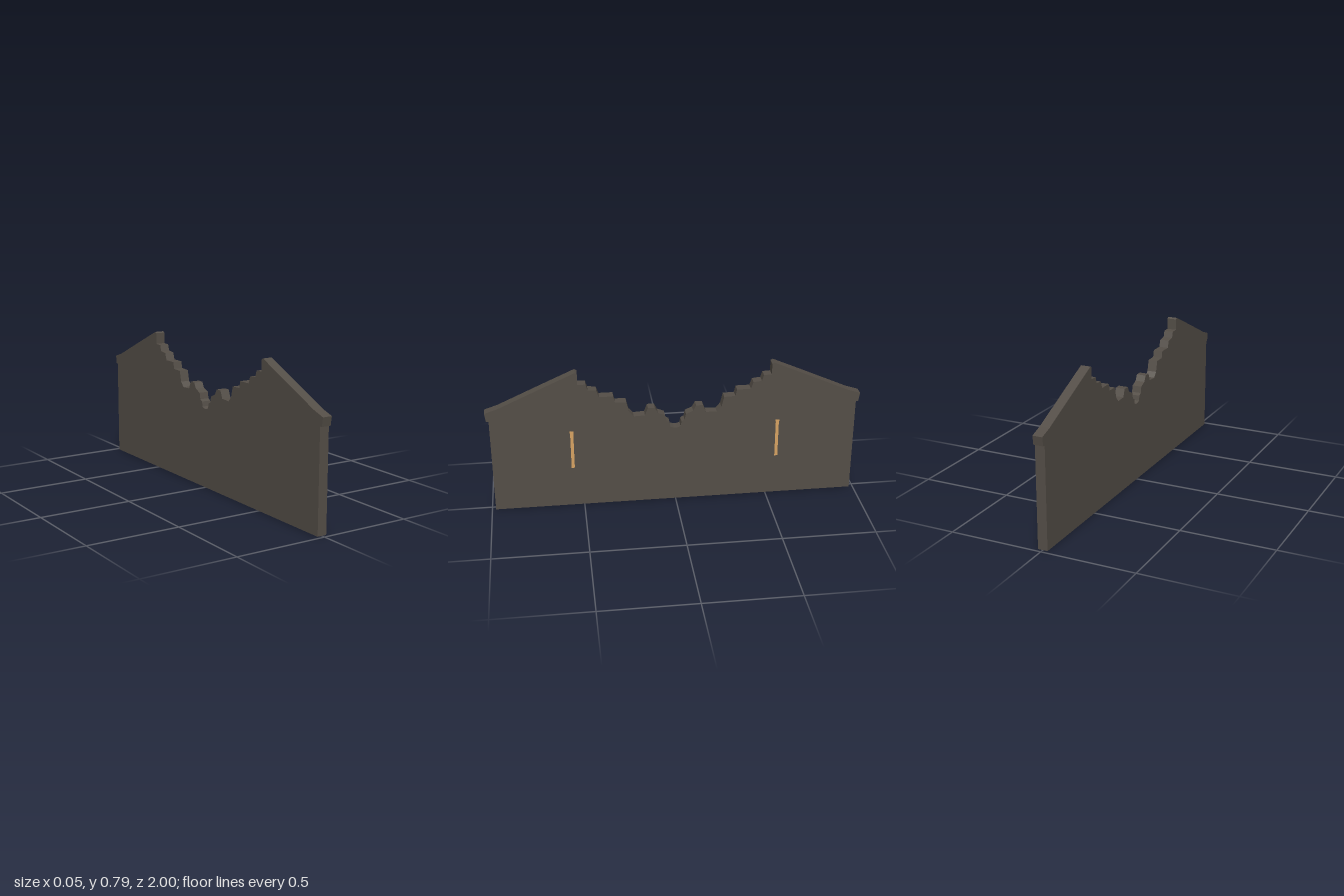
import * as THREE from 'three';

export function createModel() {
  const model = new THREE.Group();
  model.name = 'ruinedWall';
  const stone = new THREE.MeshStandardMaterial({ color: 0x544e47 });
  stone.name = 'dark stone';
  const glow = new THREE.MeshStandardMaterial({ color: 0xd6a262 });
  glow.name = 'amber window';

  const thickness = 0.052;

  // Half outline (distance from the middle, height): foot, eave, gable slope, broken edge
  const half = [
    [0.98, 0], [0.98, 0.535], [0.993, 0.535], [1, 0.582], [0.93, 0.605], [0.69, 0.713],
    [0.523, 0.787], [0.512, 0.78], [0.512, 0.72], [0.47, 0.718], [0.46, 0.685], [0.415, 0.68],
    [0.402, 0.642], [0.328, 0.642], [0.32, 0.605], [0.26, 0.603], [0.246, 0.545], [0.222, 0.518],
    [0.163, 0.521], [0.147, 0.562], [0.11, 0.562], [0.094, 0.531], [0.056, 0.515], [0.049, 0.481],
    [0.032, 0.471], [0.027, 0.444], [0.008, 0.437],
  ];
  const mirrored = half.map(([d, y]) => [-d, y]).reverse();
  const outline = new THREE.Shape([...half, ...mirrored].map(([d, y]) => new THREE.Vector2(d, y)));

  // Wall slab, turned so its length runs along z
  const slab = new THREE.ExtrudeGeometry(outline, { depth: thickness, bevelEnabled: false });
  slab.translate(0, 0, -thickness / 2);
  slab.rotateY(Math.PI / 2);
  const wall = new THREE.Mesh(slab, stone);
  wall.name = 'wall';
  model.add(wall);

  // Narrow slit windows with a slightly wider head, on one face only
  for (const side of [1, -1]) {
    const slit = new THREE.Group();
    slit.name = side > 0 ? 'frontSlitWindow' : 'backSlitWindow';
    for (const [name, width, bottom, top] of [['pane', 0.017, 0.23, 0.439], ['head', 0.021, 0.439, 0.449]]) {
      const part = new THREE.Mesh(new THREE.BoxGeometry(0.002, top - bottom, width), glow);
      part.name = name;
      part.position.set(thickness / 2, (top + bottom) / 2, 0);
      slit.add(part);
    }
    slit.position.z = side * 0.553;
    model.add(slit);
  }
  return model;
}
